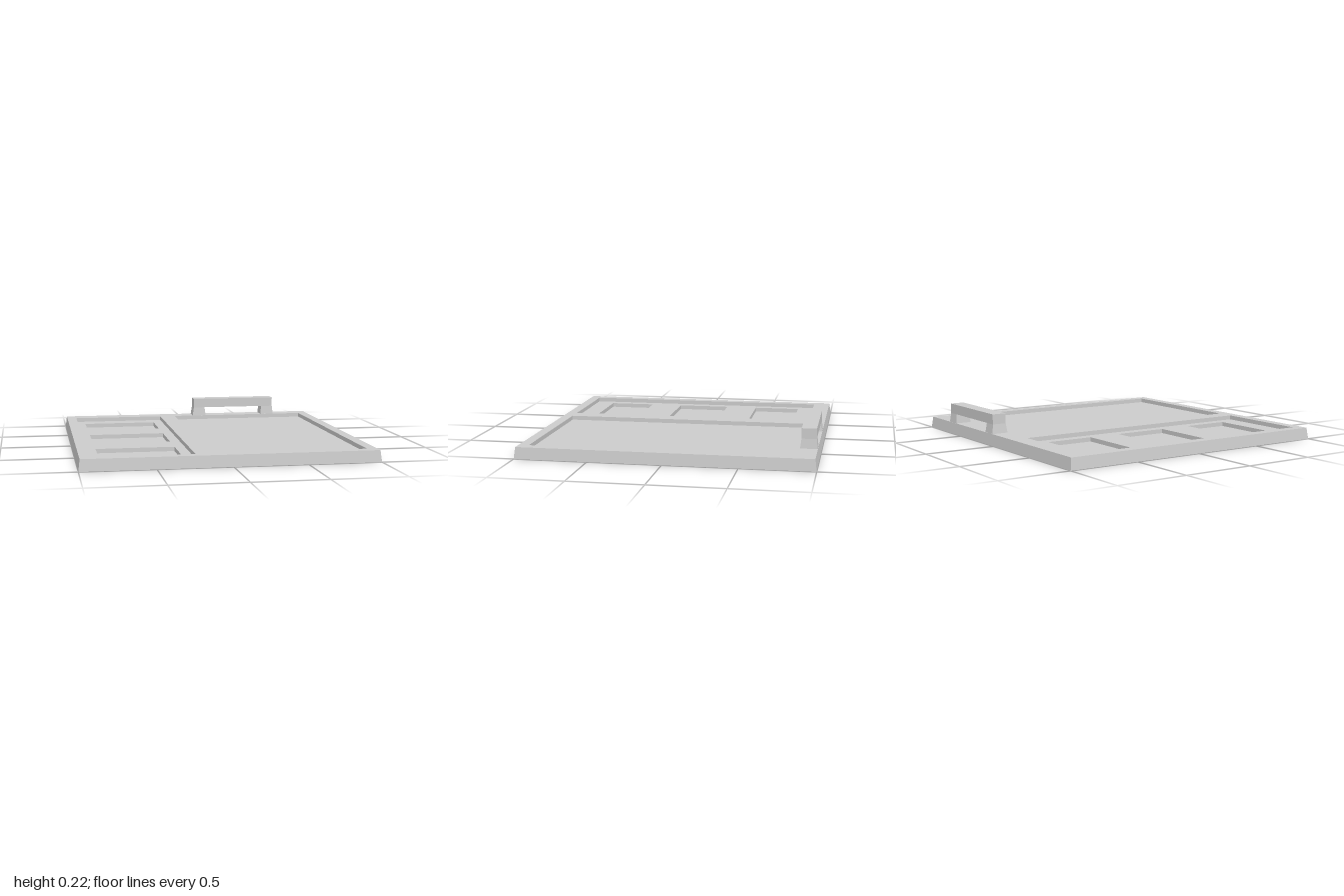
import * as THREE from 'three';

const material = new THREE.MeshStandardMaterial({ color: 0xcccccc, flatShading: true });

const TOP = 0.08, PANEL_FLOOR = 0.05, POCKET_FLOOR = 0.02;

// Rectangle in plan, given as x and z ranges
function rect(Type, [x0, x1, z0, z1]) {
  return new Type([[x0, -z1], [x1, -z1], [x1, -z0], [x0, -z0]].map(p => new THREE.Vector2(...p)));
}

function addMesh(group, name, geometry) {
  geometry.computeVertexNormals();
  const mesh = new THREE.Mesh(geometry, material);
  mesh.name = name;
  group.add(mesh);
}

// Horizontal slice of the board with rectangular cut-outs; outer walls lean inwards
function boardLayer(y0, y1, holes) {
  const shape = rect(THREE.Shape, [-1, 1, -1, 1]);
  shape.holes = holes.map(h => rect(THREE.Path, h));
  const geo = new THREE.ExtrudeGeometry(shape, { depth: y1 - y0, bevelEnabled: false });
  geo.rotateX(-Math.PI / 2).translate(0, y0, 0);
  const p = geo.attributes.position;
  for (let i = 0; i < p.count; i++) {
    const k = 1 - 0.01 * p.getY(i) / TOP;
    if (Math.abs(p.getX(i)) > 0.99) p.setX(i, p.getX(i) * k);
    if (Math.abs(p.getZ(i)) > 0.99) p.setZ(i, p.getZ(i) * k);
  }
  return geo;
}

// Block whose lower and upper rectangles differ
function taperedBlock(y0, y1, low, high) {
  const geo = new THREE.BoxGeometry(1, 1, 1).toNonIndexed();
  const p = geo.attributes.position;
  for (let i = 0; i < p.count; i++) {
    const up = p.getY(i) > 0;
    const r = up ? high : low;
    p.setXYZ(i, r[p.getX(i) > 0 ? 1 : 0], up ? y1 : y0, r[p.getZ(i) > 0 ? 3 : 2]);
  }
  return geo;
}

export function createModel() {
  const model = new THREE.Group();
  model.name = 'tray';

  // Board: solid base, pocketed middle layer, rim around the two panels
  const board = new THREE.Group();
  board.name = 'board';
  const narrowPanel = [-0.92, -0.24, -0.87, 0.92];
  const widePanel = [-0.12, 0.92, -0.87, 0.92];
  const pockets = [[-0.745, -0.405], [-0.17, 0.215], [0.45, 0.785]].map(z => [-0.855, -0.31, ...z]);
  addMesh(board, 'base', boardLayer(0, POCKET_FLOOR, []));
  addMesh(board, 'pocketLayer', boardLayer(POCKET_FLOOR, PANEL_FLOOR, pockets));
  addMesh(board, 'rim', boardLayer(PANEL_FLOOR, TOP, [narrowPanel, widePanel]));
  model.add(board);

  // Handle at the back: flared feet under a straight bar
  const handle = new THREE.Group();
  handle.name = 'handle';
  const barBottom = 0.145, zLow = [-0.988, -0.872], zHigh = [-0.98, -0.88];
  const bar = [0.04, 0.695, ...zHigh];
  addMesh(handle, 'handleBar', taperedBlock(barBottom, 0.215, bar, bar));
  addMesh(handle, 'rightFoot', taperedBlock(TOP, barBottom, [0.03, 0.137, ...zLow], [0.04, 0.128, ...zHigh]));
  addMesh(handle, 'leftFoot', taperedBlock(TOP, barBottom, [0.597, 0.703, ...zLow], [0.604, 0.695, ...zHigh]));
  model.add(handle);

  return model;
}
